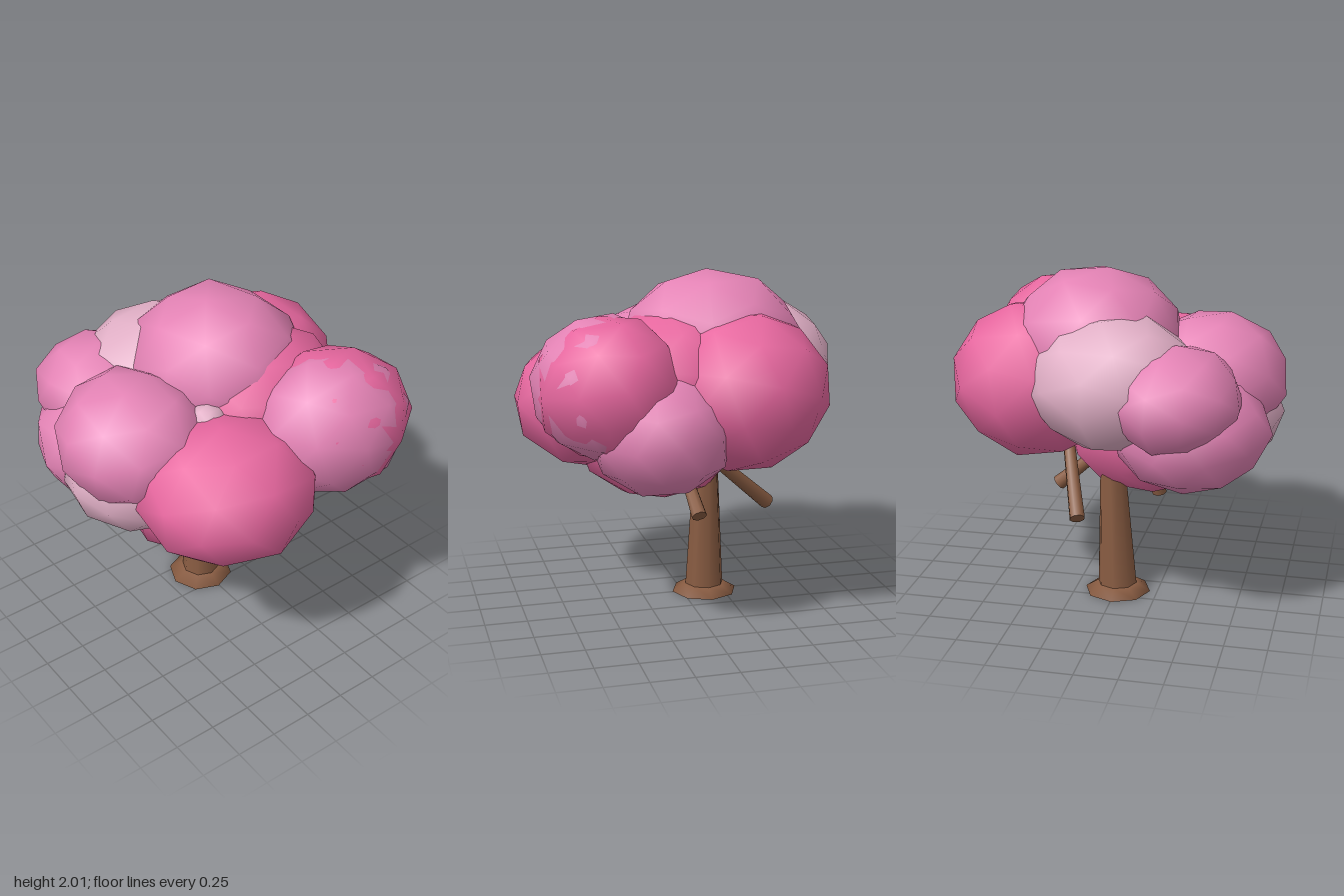
import * as THREE from 'three';
import { mergeVertices } from 'three/addons/utils/BufferGeometryUtils.js';

const material = (name, color) => {
  const m = new THREE.MeshStandardMaterial({ color });
  m.name = name;
  return m;
};

// Low-poly leaf clump with smooth normals and a slightly uneven surface
function clumpGeometry(seed, radii) {
  let g = new THREE.IcosahedronGeometry(1, 1);
  g.deleteAttribute('normal');
  g.deleteAttribute('uv');
  g = mergeVertices(g, 1e-4);
  const p = g.attributes.position;
  const v = new THREE.Vector3();
  const turn = new THREE.Euler(seed * 0.7, seed * 1.3, seed * 0.4);
  for (let i = 0; i < p.count; i++) {
    v.fromBufferAttribute(p, i).applyEuler(turn);
    const bump = 1.035 + 0.03 * Math.sin(v.x * 5 + seed) * Math.cos(v.y * 4 + v.z * 5 - seed);
    v.multiplyScalar(bump);
    p.setXYZ(i, v.x * radii[0], v.y * radii[1], v.z * radii[2]);
  }
  g.computeVertexNormals();
  return g;
}

// Tapered limb running between two points
function limb(name, from, to, r0, r1, mat, sides = 8) {
  const a = new THREE.Vector3(...from);
  const b = new THREE.Vector3(...to);
  const axis = b.clone().sub(a);
  const mesh = new THREE.Mesh(new THREE.CylinderGeometry(r1, r0, axis.length(), sides), mat);
  mesh.position.copy(a).add(b).multiplyScalar(0.5);
  mesh.quaternion.setFromUnitVectors(new THREE.Vector3(0, 1, 0), axis.normalize());
  mesh.name = name;
  return mesh;
}

export function createModel() {
  const tree = new THREE.Group();
  tree.name = 'blossomTree';
  const bark = material('bark brown', 0x895c42);
  const deep = material('deep pink', 0xe7679f);
  const soft = material('soft pink', 0xe483b5);
  const pale = material('pale pink', 0xe1afc6);

  // Trunk and flared foot
  tree.add(limb('trunk', [-0.003, 0.02, -0.14], [0.03, 0.92, -0.14], 0.12, 0.07, bark));
  const profile = [[0, 0.025], [0.13, 0.02], [0.2, 0], [0.12, 0.05], [0, 0.05]];
  const foot = new THREE.Mesh(
    new THREE.LatheGeometry(profile.map(([r, y]) => new THREE.Vector2(r, y)), 8), bark);
  foot.position.set(-0.005, 0, -0.14);
  foot.name = 'trunkFoot';
  tree.add(foot);

  // Branches: lower end, upper end
  [
    [[0.16, 0.59, -0.49], [0.3, 0.92, -0.12]],
    [[0.4, 0.61, 0.0], [0.2, 0.78, 0.02]],
    [[-0.1, 0.91, -0.3], [-0.1, 1.14, -0.38]],
    [[-0.22, 0.58, 0.06], [-0.2, 0.8, 0.0]],
  ].forEach(([a, b]) => tree.add(limb('branch', a, b, 0.046, 0.036, bark)));

  // Leaf clumps: name, colour, centre, radii
  [
    ['topClump', soft, [0.12, 1.58, -0.15], [0.5, 0.42, 0.52]],
    ['frontRightClump', deep, [-0.26, 1.2, 0.48], [0.52, 0.4, 0.485]],
    ['rightClump', soft, [-0.55, 1.37, -0.03], [0.43, 0.37, 0.46]],
    ['rightLowerClump', pale, [-0.53, 1.16, -0.03], [0.42, 0.35, 0.42]],
    ['backRightClump', soft, [-0.41, 1.38, -0.57], [0.38, 0.3, 0.4]],
    ['backRightLowerClump', soft, [-0.48, 1.16, -0.37], [0.44, 0.36, 0.46]],
    ['backClump', pale, [-0.06, 1.43, -0.48], [0.49, 0.38, 0.43]],
    ['leftClump', deep, [0.45, 1.36, -0.24], [0.49, 0.45, 0.49]],
    ['leftLowerClump', soft, [0.55, 1.18, 0.27], [0.43, 0.36, 0.4]],
    ['frontLeftClump', soft, [0.415, 1.41, 0.56], [0.47, 0.4, 0.4]],
    ['frontLeftInnerClump', deep, [0.455, 1.415, 0.535], [0.46, 0.395, 0.415]],
    ['bottomClump', deep, [-0.16, 1.0, 0.12], [0.52, 0.4, 0.49]],
    ['centreClump', deep, [0.24, 1.41, 0.1], [0.52, 0.41, 0.44]],
    ['innerClump', pale, [-0.23, 1.5, 0.25], [0.11, 0.11, 0.11]],
  ].forEach(([name, mat, centre, radii], i) => {
    const clump = new THREE.Mesh(clumpGeometry(i + 1, radii), mat);
    clump.position.set(...centre);
    clump.name = name;
    tree.add(clump);
  });
  return tree;
}
